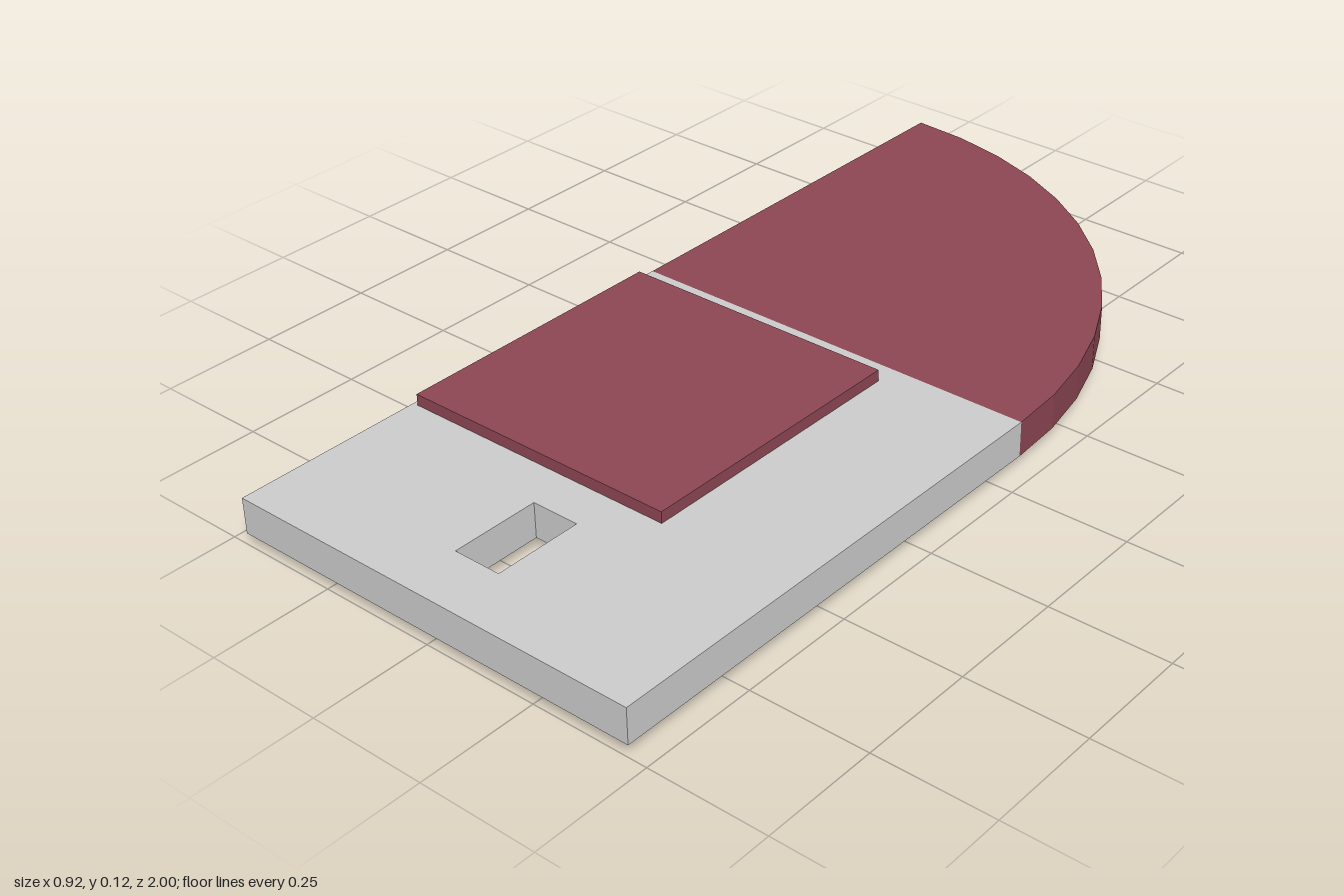
import * as THREE from 'three';

const W = 0.4615;      // half width of the plate
const JOIN = -0.077;   // z where the plate meets the rounded end
const Y0 = 0.025, THICK = 0.0755;

const grey = new THREE.MeshStandardMaterial({ color: 0xcccccc, flatShading: true });
const red = new THREE.MeshStandardMaterial({ color: 0x8c4653, flatShading: true });

// Trace a rectangle given in x and z (shape y is -z)
function rect(path, x0, x1, z0, z1) {
  path.moveTo(x0, -z1);
  path.lineTo(x1, -z1);
  path.lineTo(x1, -z0);
  path.lineTo(x0, -z0);
  path.closePath();
  return path;
}

// Lay an outline flat and give it height upwards from y
function slab(name, shape, y, height, material) {
  const geo = new THREE.ExtrudeGeometry(shape, { depth: height, bevelEnabled: false, curveSegments: 6 });
  geo.rotateX(-Math.PI / 2);
  const mesh = new THREE.Mesh(geo, material);
  mesh.name = name;
  mesh.position.y = y;
  return mesh;
}

export function createModel() {
  const model = new THREE.Group();
  model.name = 'slottedPlate';

  // Rectangular plate with a slot through it
  const plate = rect(new THREE.Shape(), -W, W, JOIN, 1);
  plate.holes.push(rect(new THREE.Path(), -0.052, 0.052, 0.684, 0.874));
  model.add(slab('plate', plate, Y0, THICK, grey));

  // Quarter-round end
  const end = new THREE.Shape();
  end.moveTo(-W, -JOIN);
  end.lineTo(W, -JOIN);
  end.absarc(-W, -JOIN, 2 * W, 0, Math.PI / 2, false);
  end.closePath();
  model.add(slab('roundedEnd', end, Y0, THICK, red));

  // Thin square panels on both faces
  const panel = rect(new THREE.Shape(), -0.45, 0.166, -0.026, 0.59);
  model.add(slab('lowerPanel', panel, 0, Y0, red));
  model.add(slab('upperPanel', panel, Y0 + THICK, 0.0245, red));

  return model;
}
